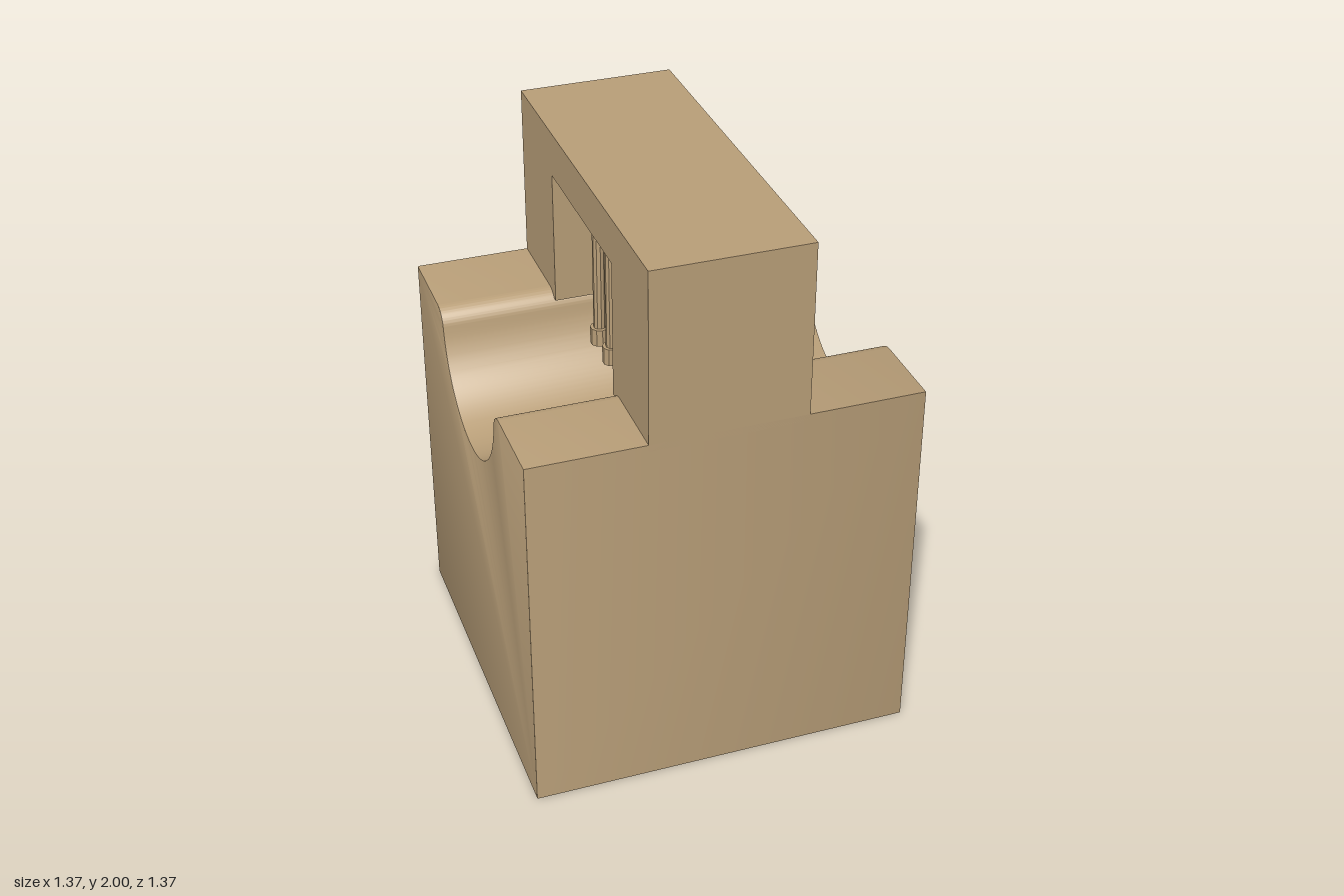
import * as THREE from 'three';
import { toCreasedNormals } from 'three/addons/utils/BufferGeometryUtils.js';

const HALF = 0.685; // half width of the block
const TOP = 1.375;  // top of the block

// Extrudes a side profile (z, y) along x, centred
function extrudeSideways(shape, width, bevel) {
  const geo = new THREE.ExtrudeGeometry(shape, {
    depth: width - 2 * bevel,
    bevelEnabled: bevel > 0,
    bevelSize: bevel,
    bevelThickness: bevel,
    bevelOffset: -bevel,
    bevelSegments: 2,
    curveSegments: 24,
  });
  geo.translate(0, 0, -width / 2 + bevel);
  geo.rotateY(Math.PI / 2);
  return toCreasedNormals(geo, 0.6);
}

export function createModel() {
  const model = new THREE.Group();
  model.name = 'blockWithArch';
  const tan = new THREE.MeshStandardMaterial({ color: 0xb89e78 });
  tan.name = 'tan';

  const add = (name, geo, parent = model) => {
    const mesh = new THREE.Mesh(geo, tan);
    mesh.name = name;
    parent.add(mesh);
    return mesh;
  };

  // Base block with a round channel whose lips are filleted
  const grooveR = 0.33, grooveY = 1.36, lipR = 0.07;
  const lipY = TOP - lipR;
  const lipZ = Math.sqrt((grooveR + lipR) ** 2 - (grooveY - lipY) ** 2);
  const a = Math.atan2(grooveY - lipY, lipZ);
  const block = new THREE.Shape();
  block.moveTo(-HALF, 0);
  block.lineTo(HALF, 0);
  block.lineTo(HALF, TOP);
  block.absarc(lipZ, lipY, lipR, Math.PI / 2, Math.PI - a, false);
  block.absarc(0, grooveY, grooveR, -a, a - Math.PI, true);
  block.absarc(-lipZ, lipY, lipR, a, Math.PI / 2, false);
  block.lineTo(-HALF, TOP);
  block.closePath();
  add('baseBlock', extrudeSideways(block, 2 * HALF, 0.004));

  // Square arch bridging the channel
  const legZ = 0.325, legY = 1.35, ceiling = 1.84;
  const arch = new THREE.Shape([
    [-HALF, legY], [-legZ, legY], [-legZ, ceiling], [legZ, ceiling],
    [legZ, legY], [HALF, legY], [HALF, 2], [-HALF, 2],
  ].map(([z, y]) => new THREE.Vector2(z, y)));
  add('arch', extrudeSideways(arch, 0.55, 0));

  // Two rows of hanging rods with thicker tips
  const tipTop = 1.265, tipBottom = 1.2;
  const rodGeo = toCreasedNormals(
    new THREE.CylinderGeometry(0.022, 0.022, ceiling - tipTop + 0.02, 10), 0.4);
  const tipGeo = toCreasedNormals(
    new THREE.CylinderGeometry(0.034, 0.034, tipTop - tipBottom, 10), 0.4);
  for (const x of [-0.14, 0.14]) {
    for (const z of [-0.243, -0.104, 0.104, 0.243]) {
      const rod = new THREE.Group();
      rod.name = 'hangingRod';
      rod.position.set(x, 0, z);
      add('rodShaft', rodGeo, rod).position.y = (ceiling + tipTop) / 2;
      add('rodTip', tipGeo, rod).position.y = (tipTop + tipBottom) / 2;
      model.add(rod);
    }
  }
  return model;
}
